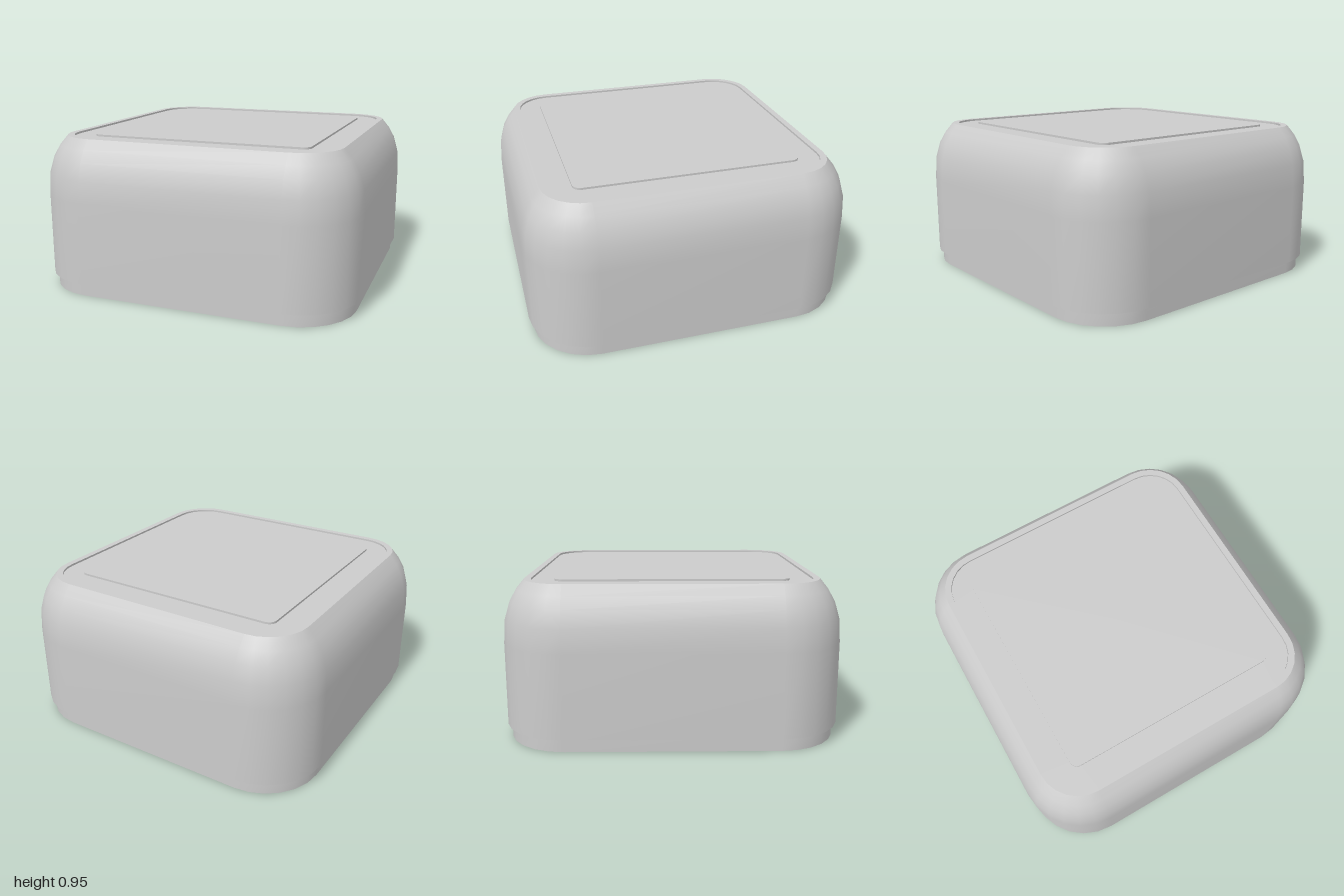
import * as THREE from 'three';

const CORNER_SEGMENTS = 6;
const material = new THREE.MeshStandardMaterial({ color: 0xcccccc });

// Rounded square of half-width h at height y, counter-clockwise from above
function ring(h, y, r) {
  const points = [];
  for (let q = 0; q < 4; q++) {
    const mid = (q + 0.5) * Math.PI / 2;
    const cx = Math.sign(Math.cos(mid)) * (h - r);
    const cz = Math.sign(Math.sin(mid)) * (h - r);
    for (let i = 0; i <= CORNER_SEGMENTS; i++) {
      const a = (q + i / CORNER_SEGMENTS) * Math.PI / 2;
      points.push([cx + r * Math.cos(a), y, -(cz + r * Math.sin(a))]);
    }
  }
  return points;
}

// Skin through rings given as [halfWidth, height, cornerRadius]; smooth within one skin
function skin(name, profile) {
  const rings = profile.map(([h, y, r = Math.max(h - 0.62, 0)]) => ring(h, y, r));
  const n = rings[0].length;
  const index = [];
  for (let i = 0; i < rings.length - 1; i++) {
    for (let j = 0; j < n; j++) {
      const a = i * n + j, b = i * n + (j + 1) % n;
      index.push(a, b, b + n, a, b + n, a + n);
    }
  }
  const geometry = new THREE.BufferGeometry();
  geometry.setAttribute('position', new THREE.Float32BufferAttribute(rings.flat(2), 3));
  geometry.setIndex(index);
  geometry.computeVertexNormals();
  const mesh = new THREE.Mesh(geometry, material);
  mesh.name = name;
  return mesh;
}

export function createModel() {
  const group = new THREE.Group();
  group.name = 'roundedCover';
  const top = 0.95, groove = 0.938, ceiling = 0.8;

  group.add(
    // Inset lip at the foot and the ledge above it
    skin('lip', [[0.975, 0], [0.975, 0.08]]),
    skin('ledge', [[0.975, 0.08], [1, 0.08]]),

    // Straight walls curving into the shoulder
    skin('outerWall', [
      [1, 0.08], [1, 0.58], [0.99, 0.72], [0.96, 0.82], [0.92, 0.89], [0.87, top],
    ]),

    // Top rim, shallow groove and raised centre panel
    skin('topRim', [[0.87, top], [0.83, top]]),
    skin('grooveOuterSide', [[0.83, top], [0.83, groove]]),
    skin('grooveFloor', [[0.83, groove], [0.69, groove, 0.05]]),
    skin('grooveInnerSide', [[0.69, groove, 0.05], [0.69, top, 0.05]]),
    skin('topPanel', [[0.69, top, 0.05], [0, top, 0]]),

    // Hollow inside, open below
    skin('ceiling', [[0, ceiling, 0], [0.95, ceiling]]),
    skin('innerWall', [[0.95, ceiling], [0.95, 0]]),
    skin('bottomRim', [[0.95, 0], [0.975, 0]]),
  );
  return group;
}
